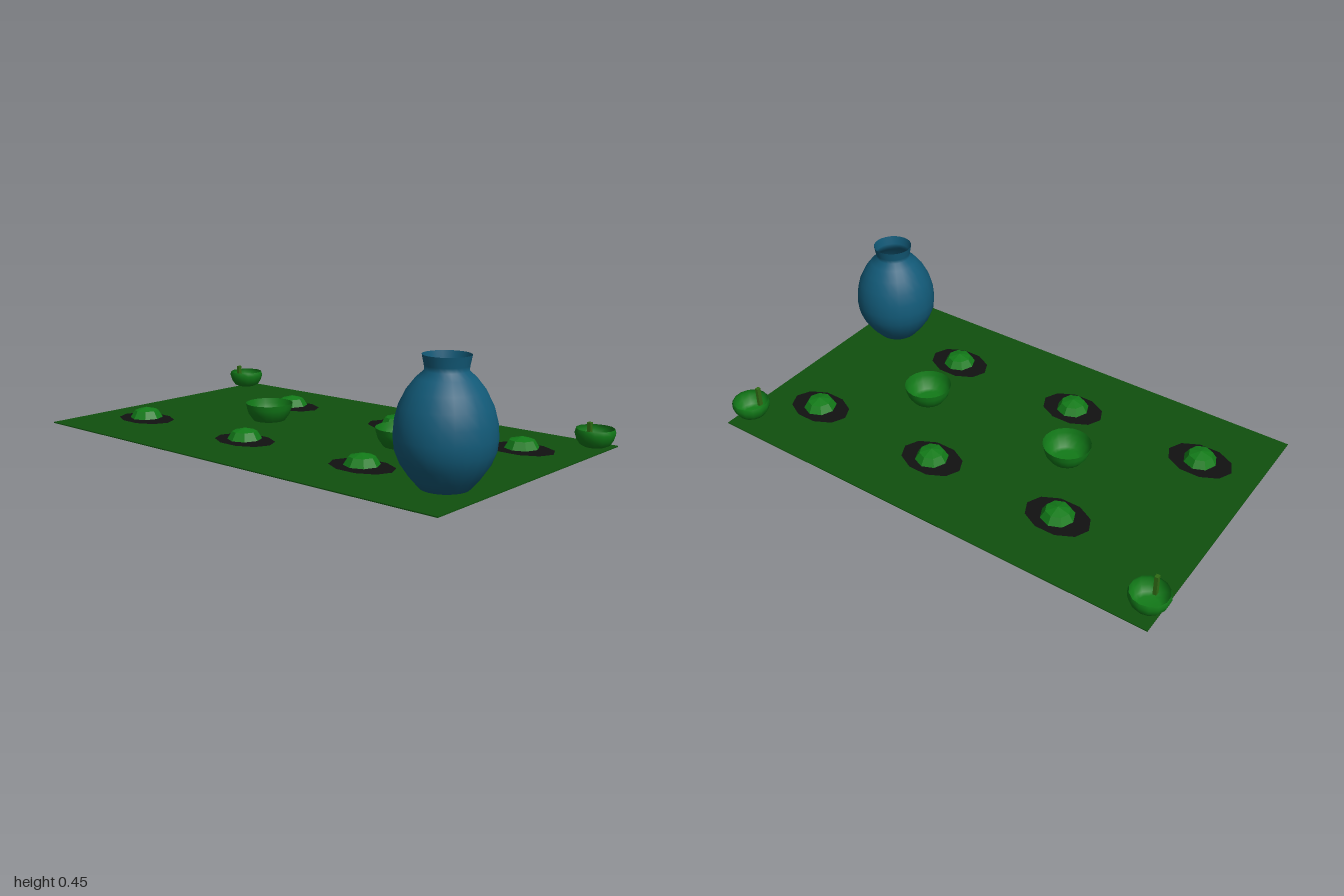
import * as THREE from 'three';

const material = (color, extra = {}) =>
  new THREE.MeshStandardMaterial({ color, side: THREE.DoubleSide, ...extra });

// Open vessel turned from [radius, height] pairs, starting at the centre of its floor
function turned(name, profile, sides, mat) {
  const points = profile.map(([r, y]) => new THREE.Vector2(r, y));
  const mesh = new THREE.Mesh(new THREE.LatheGeometry(points, sides), mat);
  mesh.name = name;
  return mesh;
}

export function createModel() {
  const model = new THREE.Group();
  model.name = 'picnicSetting';

  const clothMat = material(0x10500e);
  const plateMat = material(0x111111);
  const greenMat = material(0x127a18);
  const facetedGreen = material(0x127a18, { flatShading: true });
  const stemMat = material(0x2f6a14);
  const vaseMat = material(0x125a78);

  const add = (part, x, z) => {
    part.position.x = x;
    part.position.z = z;
    model.add(part);
  };

  // Thin cloth on the ground
  const cloth = new THREE.Mesh(new THREE.BoxGeometry(1.94, 0.004, 1.165), clothMat);
  cloth.name = 'cloth';
  cloth.position.y = 0.002;
  model.add(cloth);

  // Oval plates, each with a low faceted mound
  const plateShape = new THREE.CircleGeometry(1, 10).rotateX(-Math.PI / 2).scale(0.134, 1, 0.094);
  const places = [];
  for (const x of [-0.438, 0.144, 0.727]) places.push([x, -0.292], [-x, 0.29]);
  for (const [x, z] of places) {
    const setting = new THREE.Group();
    setting.name = 'placeSetting';
    const plate = new THREE.Mesh(plateShape, plateMat);
    plate.name = 'plate';
    plate.position.y = 0.007;
    const mound = turned('mound',
      [[0, 0.013], [0.067, 0.013], [0.048, 0.043], [0, 0.056]], 8, facetedGreen);
    setting.add(plate, mound);
    add(setting, x, z);
  }

  // Two serving bowls along the middle
  for (const x of [-0.294, 0.385]) {
    add(turned('servingBowl',
      [[0, 0.013], [0.048, 0.013], [0.065, 0.017], [0.085, 0.045], [0.092, 0.068], [0.096, 0.088]],
      20, greenMat), x, 0);
  }

  // Corner bowls with an upright handle inside
  for (const x of [-0.922, 0.922]) {
    const group = new THREE.Group();
    group.name = 'cornerBowl';
    const bowl = turned('bowl',
      [[0, 0.013], [0.04, 0.013], [0.055, 0.02], [0.069, 0.04], [0.077, 0.065], [0.072, 0.081]],
      14, greenMat);
    const handle = new THREE.Mesh(new THREE.BoxGeometry(0.014, 0.084, 0.017), stemMat);
    handle.name = 'handle';
    handle.position.set(0, 0.07, 0.046);
    group.add(bowl, handle);
    add(group, x, -0.488);
  }

  // Large open vase
  add(turned('vase', [
    [0, 0.013], [0.084, 0.013], [0.117, 0.05], [0.148, 0.095], [0.166, 0.14],
    [0.171, 0.185], [0.167, 0.235], [0.154, 0.285], [0.129, 0.335], [0.098, 0.375],
    [0.072, 0.398], [0.074, 0.415], [0.081, 0.45],
  ], 24, vaseMat), 0.822, 0.338);

  return model;
}
